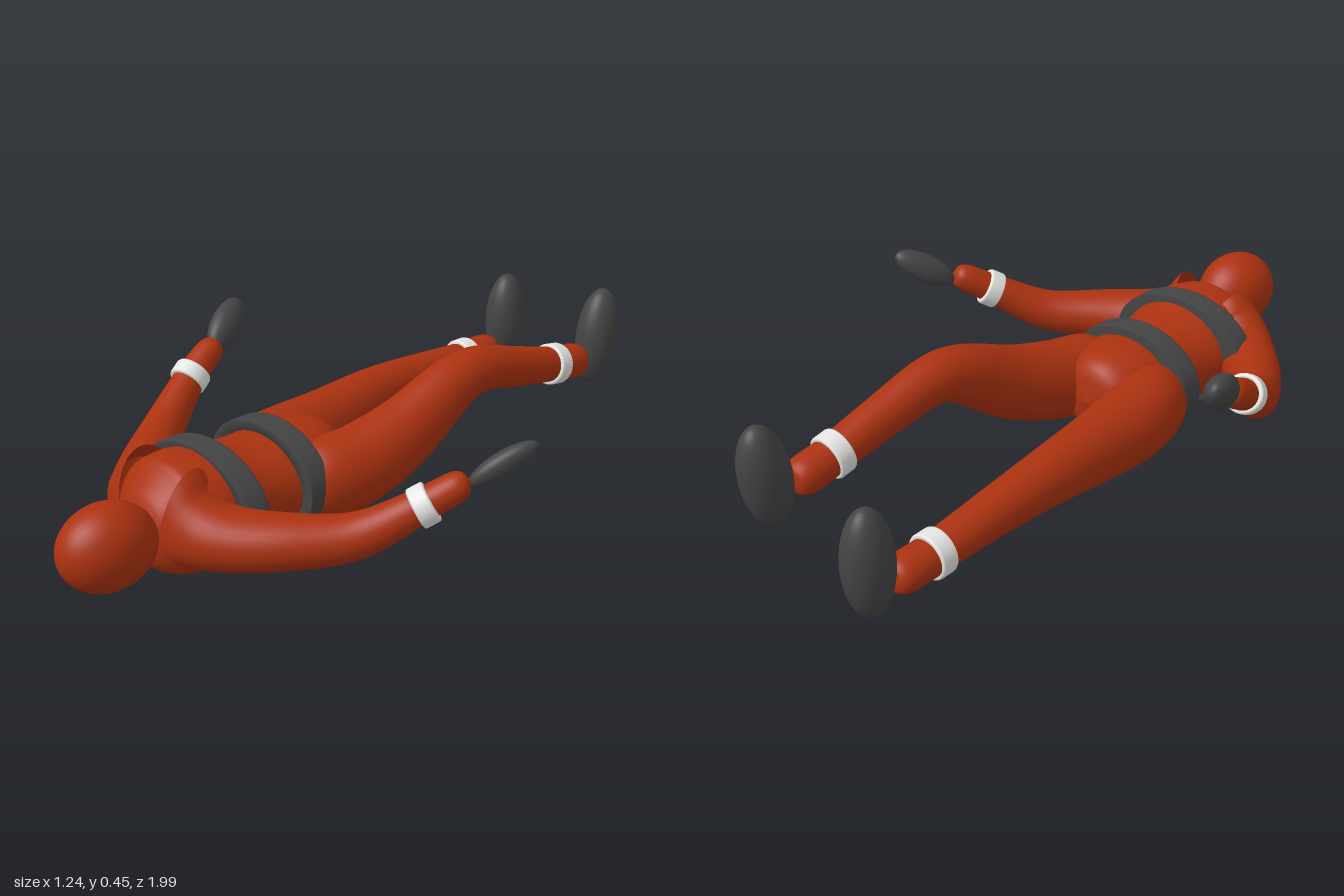
import * as THREE from 'three';

const suit = new THREE.MeshStandardMaterial({ name: 'rust suit', color: 0xab3210, side: THREE.DoubleSide });
const dark = new THREE.MeshStandardMaterial({ name: 'charcoal', color: 0x444444 });
const white = new THREE.MeshStandardMaterial({ name: 'white trim', color: 0xe4e4e2 });

const UP = new THREE.Vector3(0, 1, 0);
const v3 = (a) => new THREE.Vector3(...a);

// Smooth tube through sections [x, y, z, side radius, vertical radius]
function loft(rows, steps = 40, sides = 32) {
  const path = new THREE.CatmullRomCurve3(rows.map((r) => v3(r)), false, 'catmullrom', 0.5);
  const radii = new THREE.CatmullRomCurve3(rows.map((r) => new THREE.Vector3(r[3], r[4], 0)), false, 'catmullrom', 0.5);
  const pos = [], index = [];
  for (let i = 0; i <= steps; i++) {
    const p = path.getPoint(i / steps), r = radii.getPoint(i / steps);
    const t = path.getTangent(i / steps);
    const s = UP.clone().cross(t).normalize();
    const v = t.clone().cross(s);
    for (let j = 0; j < sides; j++) {
      const a = (j / sides) * Math.PI * 2;
      const q = p.clone()
        .addScaledVector(s, Math.cos(a) * Math.max(r.x, 0.001))
        .addScaledVector(v, Math.sin(a) * Math.max(r.y, 0.001));
      pos.push(q.x, q.y, q.z);
      if (i < steps) {
        const k = (j + 1) % sides, A = i * sides, B = A + sides;
        index.push(A + j, A + k, B + j, A + k, B + k, B + j);
      }
    }
  }
  const g = new THREE.BufferGeometry();
  g.setAttribute('position', new THREE.Float32BufferAttribute(pos, 3));
  g.setIndex(index);
  g.computeVertexNormals();
  return g;
}

// Rounded band, a closed ring section turned round the y axis
function bandGeometry(inner, outer, height) {
  const h = height / 2, c = Math.min(h, outer - inner) * 0.35;
  const pts = [[inner, -h], [outer - c, -h], [outer - c * 0.3, -h + c * 0.3], [outer, -h + c],
    [outer, h - c], [outer - c * 0.3, h - c * 0.3], [outer - c, h], [inner, h], [inner, -h]];
  return new THREE.LatheGeometry(pts.map((p) => new THREE.Vector2(...p)), 40);
}

export function createModel() {
  const model = new THREE.Group();
  model.name = 'recliningFigure';

  const add = (name, geometry, material, parent = model) => {
    const m = new THREE.Mesh(geometry, material);
    m.name = name;
    parent.add(m);
    return m;
  };
  // Ellipsoid with its y axis turned to a direction
  const ellipsoid = (name, mat, at, size, dir, parent) => {
    const m = add(name, new THREE.SphereGeometry(1, 32, 24), mat, parent);
    m.position.set(...at);
    m.scale.set(...size);
    m.quaternion.setFromUnitVectors(UP, v3(dir).normalize());
    return m;
  };
  const band = (name, mat, at, dir, [inner, outer, height], parent) => {
    const m = add(name, bandGeometry(inner, outer, height), mat, parent);
    m.position.set(...at);
    m.quaternion.setFromUnitVectors(UP, v3(dir).normalize());
    return m;
  };

  // Head and torso
  ellipsoid('head', suit, [-0.037, 0.195, 0.863], [0.103, 0.133, 0.117], [0.12, 0, -1]);
  add('torso', loft([
    [-0.1, 0.18, 0.735, 0.001, 0.001], [-0.1, 0.175, 0.71, 0.09, 0.08],
    [-0.1, 0.165, 0.65, 0.165, 0.145], [-0.1, 0.165, 0.57, 0.185, 0.158],
    [-0.1, 0.165, 0.47, 0.175, 0.145], [-0.1, 0.165, 0.38, 0.16, 0.127],
    [-0.1, 0.16, 0.27, 0.165, 0.13], [-0.1, 0.16, 0.17, 0.15, 0.13],
    [-0.1, 0.16, 0.08, 0.1, 0.1], [-0.1, 0.16, 0.05, 0.001, 0.001],
  ], 54), suit);

  // Chest and waist bands, squashed into ovals
  [['chestBand', 0.5, 0.225, 0.16, 0.17], ['waistBand', 0.27, 0.205, 0.153, 0.163]].forEach(([name, z, rx, ry, y]) => {
    const m = band(name, dark, [-0.105, y, z], [0, 0, 1], [0.72, 1, 0.072], model);
    m.scale.set(rx, 1, ry);
  });

  // Arms, each with a flared shoulder opening, cuff and mitten
  const arms = [
    {
      name: 'leftArm',
      rows: [[-0.035, 0.18, 0.625, 0.095, 0.152], [0.02, 0.168, 0.615, 0.098, 0.108],
        [0.09, 0.16, 0.59, 0.094, 0.085], [0.2, 0.163, 0.515, 0.082, 0.073],
        [0.335, 0.18, 0.385, 0.062, 0.061], [0.445, 0.26, 0.262, 0.045, 0.045],
        [0.505, 0.313, 0.185, 0.037, 0.037], [0.52, 0.325, 0.165, 0.001, 0.001]],
      cuff: [0.45, 0.262, 0.258], hand: [0.562, 0.355, 0.09],
      dir: [0.07, 0.06, -0.09], handDir: [0.09, 0.09, -0.125], size: [0.031, 0.1, 0.042],
    },
    {
      name: 'rightArm',
      rows: [[-0.17, 0.18, 0.62, 0.09, 0.15], [-0.225, 0.165, 0.605, 0.095, 0.12],
        [-0.28, 0.155, 0.565, 0.092, 0.096], [-0.365, 0.165, 0.485, 0.078, 0.077],
        [-0.47, 0.195, 0.345, 0.06, 0.064], [-0.532, 0.288, 0.19, 0.045, 0.045],
        [-0.552, 0.345, 0.09, 0.037, 0.037], [-0.556, 0.355, 0.068, 0.001, 0.001]],
      cuff: [-0.533, 0.29, 0.19], hand: [-0.576, 0.39, 0.012],
      dir: [-0.025, 0.06, -0.1], handDir: [-0.035, 0.055, -0.09], size: [0.04, 0.098, 0.05],
    },
  ];
  for (const a of arms) {
    const g = new THREE.Group();
    g.name = a.name;
    model.add(g);
    add('sleeve', loft(a.rows, 48), suit, g);
    band('wristCuff', white, a.cuff, a.dir, [0.036, 0.055, 0.048], g);
    ellipsoid('hand', dark, a.hand, a.size, a.handDir, g);
  }

  // Legs: the left knee is raised, the right leg lies flatter
  const legs = [
    {
      name: 'leftLeg',
      rows: [[-0.01, 0.155, 0.26, 0.08, 0.09], [0.02, 0.155, 0.19, 0.105, 0.115],
        [0.045, 0.17, 0.07, 0.105, 0.115], [0.065, 0.22, -0.08, 0.09, 0.105],
        [0.08, 0.31, -0.25, 0.074, 0.082], [0.088, 0.332, -0.36, 0.066, 0.068],
        [0.098, 0.295, -0.52, 0.058, 0.06], [0.104, 0.255, -0.69, 0.052, 0.052],
        [0.106, 0.235, -0.805, 0.049, 0.048], [0.106, 0.232, -0.83, 0.001, 0.001]],
      cuff: [0.104, 0.255, -0.69], dir: [0.01, -0.19, -1],
      foot: [0.108, 0.288, -0.902], lean: [0, 1, -0.14],
    },
    {
      name: 'rightLeg',
      rows: [[-0.2, 0.15, 0.26, 0.08, 0.09], [-0.225, 0.145, 0.19, 0.1, 0.115],
        [-0.245, 0.14, 0.07, 0.105, 0.112], [-0.258, 0.145, -0.08, 0.092, 0.1],
        [-0.275, 0.162, -0.3, 0.074, 0.08], [-0.28, 0.162, -0.5, 0.062, 0.063],
        [-0.282, 0.153, -0.7, 0.054, 0.051], [-0.282, 0.15, -0.845, 0.049, 0.046],
        [-0.282, 0.15, -0.87, 0.001, 0.001]],
      cuff: [-0.282, 0.152, -0.727], dir: [0, -0.03, -1],
      foot: [-0.28, 0.234, -0.93], lean: [0, 1, -0.02],
    },
  ];
  for (const l of legs) {
    const g = new THREE.Group();
    g.name = l.name;
    model.add(g);
    add('trouserLeg', loft(l.rows, 54), suit, g);
    band('ankleCuff', white, l.cuff, l.dir, [0.045, 0.062, 0.05], g);
    ellipsoid('foot', dark, l.foot, [0.061, 0.15, 0.069], l.lean, g);
  }
  return model;
}
